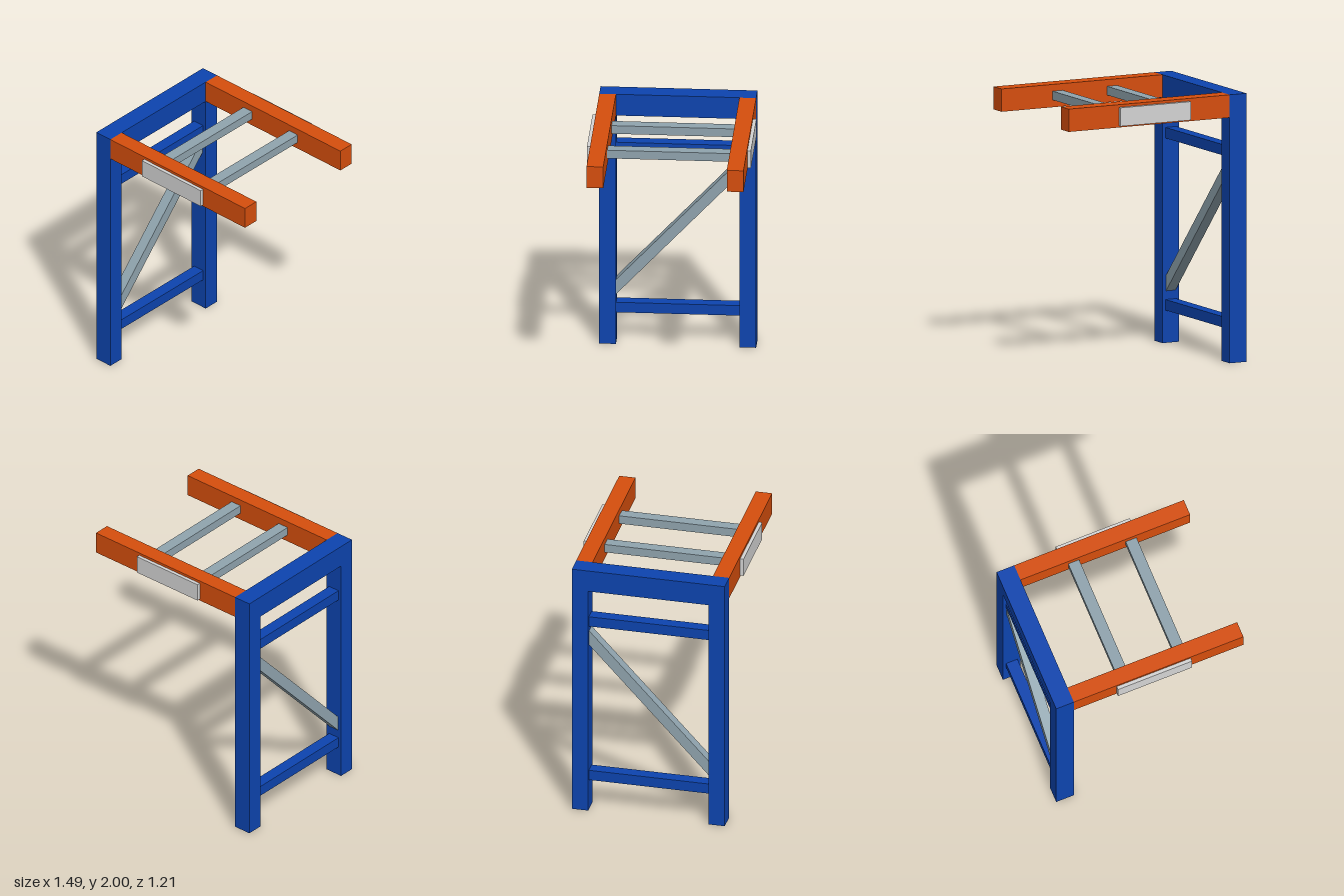
import * as THREE from 'three';

export function createModel() {
  const model = new THREE.Group();
  const material = (name, color) => {
    const m = new THREE.MeshStandardMaterial({ color });
    m.name = name;
    return m;
  };
  const blue = material('blue paint', 0x0d44af);
  const orange = material('orange paint', 0xd64e0d);
  const steel = material('blue-grey steel', 0x90a4ae);
  const plateGrey = material('light grey', 0xd4d4d4);

  // Box given by its extents along each axis
  const bar = (name, mat, [x0, x1], [y0, y1], [z0, z1]) => {
    const mesh = new THREE.Mesh(new THREE.BoxGeometry(x1 - x0, y1 - y0, z1 - z0), mat);
    mesh.name = name;
    mesh.position.set((x0 + x1) / 2, (y0 + y1) / 2, (z0 + z1) / 2);
    model.add(mesh);
  };

  const frameX = [-0.745, -0.605];
  const inner = 0.455, outer = 0.578;

  // Mirrored posts, arms and side plates
  for (const [side, s] of [['front', 1], ['back', -1]]) {
    const span = (a, b) => (s > 0 ? [a, b] : [-b, -a]);
    bar(`${side}Post`, blue, frameX, [0, 2], span(inner, outer));
    bar(`${side}Arm`, orange, [-0.605, 0.742], [1.83, 2], span(inner, outer));
    bar(`${side}Plate`, plateGrey, [-0.265, 0.323], [1.842, 1.98], span(outer, 0.604));
  }

  // Top beam and the two horizontal braces between the posts
  bar('topBeam', blue, frameX, [1.83, 2], [-inner, inner]);
  bar('lowerBrace', blue, [-0.72, -0.63], [0.243, 0.323], [-inner, inner]);
  bar('upperBrace', blue, [-0.72, -0.63], [1.525, 1.605], [-inner, inner]);

  // Rungs between the arms
  for (const x of [-0.183, 0.273]) {
    bar('rung', steel, [x - 0.043, x + 0.043], [1.885, 1.95], [-inner, inner]);
  }

  // Diagonal brace, its ends cut flush with the posts
  const outline = new THREE.Shape([
    new THREE.Vector2(-inner, 0.387),
    new THREE.Vector2(inner, 1.368),
    new THREE.Vector2(inner, 1.485),
    new THREE.Vector2(-inner, 0.504),
  ]);
  const diagonal = new THREE.Mesh(
    new THREE.ExtrudeGeometry(outline, { depth: 0.08, bevelEnabled: false }), steel);
  diagonal.name = 'diagonalBrace';
  diagonal.rotation.y = Math.PI / 2;
  diagonal.position.x = -0.715;
  model.add(diagonal);

  return model;
}
